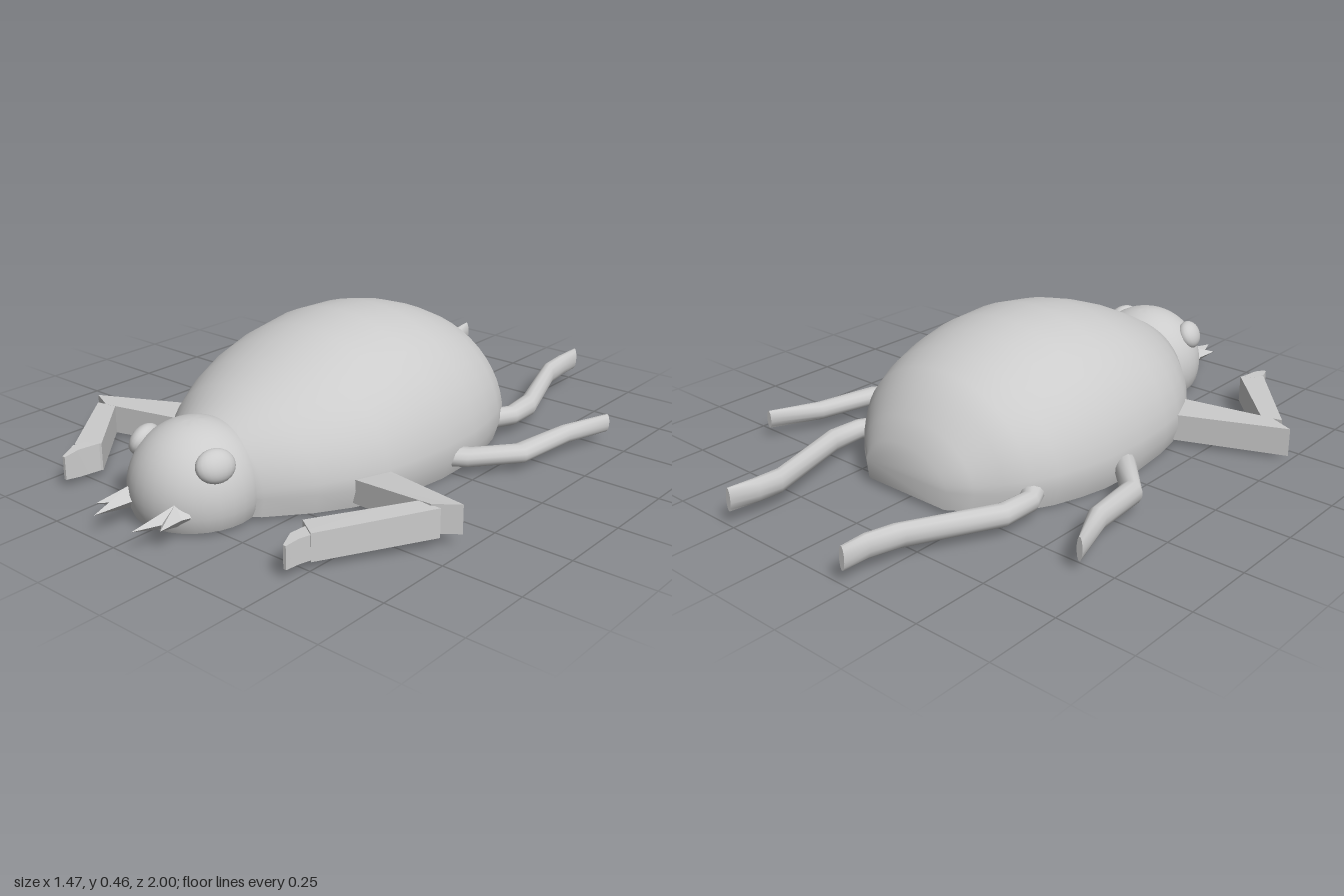
import * as THREE from 'three';
import { toCreasedNormals } from 'three/addons/utils/BufferGeometryUtils.js';

const material = new THREE.MeshStandardMaterial({ color: 0xcccccc });

function addMesh(parent, geometry, name) {
  const mesh = new THREE.Mesh(geometry, material);
  mesh.name = name;
  parent.add(mesh);
  return mesh;
}

// Closed skin over equal-sized rings of Vector3, always facing outwards
function loft(rings, crease = 0.7) {
  const n = rings[0].length;
  const points = rings.flat();
  const index = [];
  rings.slice(1).forEach((_, r) => {
    for (let j = 0; j < n; j++) {
      const a = r * n + j, b = r * n + (j + 1) % n;
      index.push(a, a + n, b, b, a + n, b + n);
    }
  });
  const last = (rings.length - 1) * n;
  for (let j = 1; j < n - 1; j++) {
    index.push(0, j, j + 1, last, last + j + 1, last + j);
  }
  let volume = 0;
  for (let i = 0; i < index.length; i += 3) {
    const [a, b, c] = [0, 1, 2].map(k => points[index[i + k]]);
    volume += a.dot(b.clone().cross(c));
  }
  if (volume < 0) index.reverse();
  const geometry = new THREE.BufferGeometry().setFromPoints(points);
  geometry.setIndex(index);
  return toCreasedNormals(geometry, crease);
}

// Domed cross-section with a slightly tucked-in flat base
function shellRing([z, width, top, base]) {
  const ring = [];
  const mid = base + 0.06;
  for (let i = 0; i <= 24; i++) {
    const t = Math.PI * i / 24;
    ring.push(new THREE.Vector3(width * Math.cos(t), mid + (top - mid) * Math.sin(t), z));
  }
  ring.push(new THREE.Vector3(-width * 0.95, base, z), new THREE.Vector3(width * 0.95, base, z));
  return ring;
}

// Leg section between two plan points [x, z]; square or round in outline
function legRing([ax, az, bx, bz, low, high], square) {
  const ring = [];
  const n = square ? 4 : 12;
  for (let i = 0; i < n; i++) {
    const t = 2 * Math.PI * (i + 0.5) / n;
    const k = square ? Math.SQRT2 : 1.03;
    const u = 0.5 + 0.5 * k * Math.cos(t);
    const v = 0.5 + 0.5 * k * Math.sin(t);
    ring.push(new THREE.Vector3(ax + (bx - ax) * u, low + (high - low) * v, az + (bz - az) * u));
  }
  return ring;
}

function addLeg(parent, name, limbs, square) {
  const leg = new THREE.Group();
  leg.name = name;
  limbs.forEach((sections, i) => {
    const rings = sections.map(s => legRing(s, square));
    addMesh(leg, loft(rings, square ? 0.5 : 0.9), ['upperLeg', 'lowerLeg', 'foot'][i]);
  });
  parent.add(leg);
}

export function createModel() {
  const beetle = new THREE.Group();
  beetle.name = 'beetle';

  // Wing shell: z, half width, top, base
  const stations = [
    [0.68, 0.12, 0.21, 0.012], [0.62, 0.21, 0.26, 0.012], [0.5, 0.31, 0.325, 0.01],
    [0.4, 0.37, 0.372, 0.008], [0.3, 0.412, 0.41, 0.005], [0.2, 0.432, 0.44, 0.003],
    [0.05, 0.446, 0.463, 0], [-0.1, 0.44, 0.457, 0], [-0.2, 0.422, 0.437, 0.003],
    [-0.3, 0.394, 0.403, 0.007], [-0.38, 0.355, 0.365, 0.01], [-0.44, 0.3, 0.328, 0.012],
    [-0.5, 0.235, 0.245, 0.014], [-0.55, 0.17, 0.18, 0.018],
  ];
  addMesh(beetle, loft(stations.map(shellRing)), 'body');

  // Head, flattened underneath
  const headShape = new THREE.SphereGeometry(0.2, 32, 24);
  const pos = headShape.attributes.position;
  for (let i = 0; i < pos.count; i++) pos.setY(i, Math.max(pos.getY(i), -0.072));
  const head = addMesh(beetle, toCreasedNormals(headShape, 0.6), 'head');
  head.position.set(0, 0.085, 0.685);

  for (const side of [1, -1]) {
    const label = side > 0 ? 'left' : 'right';

    const eye = addMesh(beetle, new THREE.SphereGeometry(1, 20, 14), label + 'Eye');
    eye.scale.set(0.036, 0.05, 0.06);
    eye.position.set(side * 0.148, 0.2, 0.745);
    eye.rotation.set(0, -side * 0.3, side * 0.45);

    // Jaw: a long spike with a short barb outside
    const jaw = new THREE.Group();
    jaw.name = label + 'Jaw';
    const spikes = [
      ['jawSpike', 0.1, 0.83, 0.078, 0.998, 0.04],
      ['jawBarb', 0.095, 0.85, 0.135, 0.945, 0.036],
    ];
    for (const [name, x0, z0, x1, z1, radius] of spikes) {
      const length = Math.hypot(x1 - x0, z1 - z0);
      const cone = new THREE.ConeGeometry(radius, length, 4).rotateX(Math.PI / 2);
      const spike = addMesh(jaw, toCreasedNormals(cone, 0.3), name);
      spike.position.set(side * (x0 + x1) / 2, 0.072, (z0 + z1) / 2);
      spike.rotation.y = side * Math.atan2(x1 - x0, z1 - z0);
    }
    beetle.add(jaw);
  }

  // Leg sections: edge x, z, opposite edge x, z, bottom, top
  addLeg(beetle, 'leftFrontLeg', [
    [[0.34, 0.4, 0.36, 0.28, 0.025, 0.1], [0.66, 0.435, 0.73, 0.38, 0.04, 0.13]],
    [[0.615, 0.43, 0.69, 0.43, 0.035, 0.125], [0.43, 0.7, 0.5, 0.745, 0.025, 0.11]],
    [[0.455, 0.69, 0.505, 0.72, 0.03, 0.105], [0.45, 0.77, 0.49, 0.78, 0.03, 0.105],
      [0.475, 0.825, 0.485, 0.825, 0.03, 0.1]],
  ], true);
  addLeg(beetle, 'rightFrontLeg', [
    [[-0.35, 0.42, -0.38, 0.28, 0.02, 0.11], [-0.65, 0.485, -0.74, 0.445, 0.01, 0.105]],
    [[-0.615, 0.475, -0.685, 0.49, 0.012, 0.105], [-0.39, 0.715, -0.45, 0.77, 0.02, 0.11]],
    [[-0.395, 0.72, -0.44, 0.74, 0.02, 0.11], [-0.405, 0.79, -0.445, 0.78, 0.02, 0.11],
      [-0.41, 0.84, -0.42, 0.84, 0.025, 0.1]],
  ], true);
  addLeg(beetle, 'leftMiddleLeg', [[
    [0.4, -0.05, 0.41, 0.05, 0.025, 0.085], [0.45, -0.07, 0.48, 0, 0.025, 0.085],
    [0.53, -0.17, 0.6, -0.15, 0.025, 0.085], [0.57, -0.38, 0.625, -0.37, 0.03, 0.09],
    [0.65, -0.54, 0.67, -0.54, 0.035, 0.095],
  ]]);
  addLeg(beetle, 'rightMiddleLeg', [[
    [-0.39, -0.04, -0.4, 0.05, 0.025, 0.095], [-0.435, -0.08, -0.455, 0, 0.025, 0.095],
    [-0.53, -0.18, -0.595, -0.16, 0.025, 0.1], [-0.56, -0.38, -0.615, -0.36, 0.03, 0.105],
    [-0.65, -0.54, -0.67, -0.54, 0.035, 0.11],
  ]]);
  addLeg(beetle, 'leftHindLeg', [[
    [0.3, -0.32, 0.37, -0.3, 0.03, 0.095], [0.35, -0.4, 0.41, -0.39, 0.03, 0.095],
    [0.34, -0.52, 0.41, -0.5, 0.03, 0.1], [0.24, -0.82, 0.3, -0.8, 0.035, 0.11],
    [0.242, -0.9, 0.29, -0.9, 0.04, 0.115], [0.26, -0.995, 0.28, -0.995, 0.045, 0.12],
  ]]);
  addLeg(beetle, 'rightHindLeg', [[
    [-0.28, -0.34, -0.36, -0.32, 0.03, 0.095], [-0.34, -0.42, -0.4, -0.4, 0.03, 0.095],
    [-0.335, -0.52, -0.4, -0.53, 0.03, 0.1], [-0.205, -0.82, -0.265, -0.8, 0.035, 0.11],
    [-0.195, -0.91, -0.24, -0.91, 0.04, 0.115], [-0.215, -1, -0.235, -1, 0.045, 0.12],
  ]]);

  return beetle;
}
